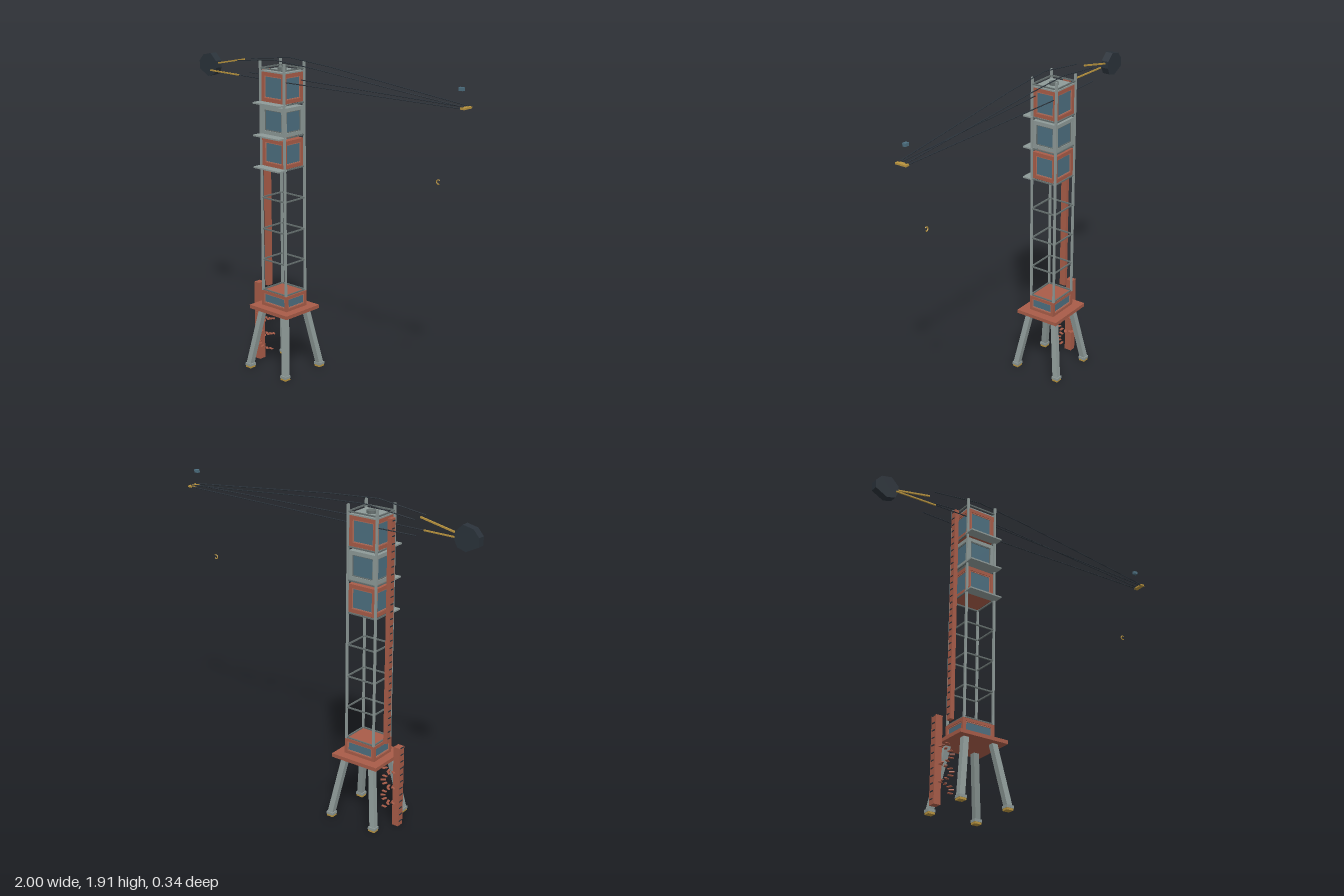
import * as THREE from 'three';

const paint = (color) => new THREE.MeshStandardMaterial({ color, flatShading: true });

export function createModel() {
  const model = new THREE.Group();
  model.name = 'towerCrane';
  const RED = paint(0xa85c48), GREY = paint(0x8e9a98), BLUE = paint(0x4d6f80);
  const DARK = paint(0x2a323a), GOLD = paint(0xb8933e), STEEL = paint(0x66706f), TRIM = paint(0xb5705c);
  const CX = -0.318; // mast axis

  function add(parent, name, geometry, material, x = 0, y = 0, z = 0) {
    const mesh = new THREE.Mesh(geometry, material);
    mesh.name = name;
    mesh.position.set(x, y, z);
    parent.add(mesh);
    return mesh;
  }
  const box = (parent, name, material, w, h, d, x, y, z) =>
    add(parent, name, new THREE.BoxGeometry(w, h, d), material, x, y, z);

  // Straight bar between two points: square section, or round if sides > 4
  function bar(parent, name, material, a, b, width, sides = 4) {
    const from = new THREE.Vector3(...a), to = new THREE.Vector3(...b);
    const length = from.distanceTo(to);
    const geometry = sides === 4 ? new THREE.BoxGeometry(width, length, width)
      : new THREE.CylinderGeometry(width / 2, width / 2, length, sides);
    const mesh = add(parent, name, geometry, material);
    mesh.position.copy(from).lerp(to, 0.5);
    mesh.quaternion.setFromUnitVectors(new THREE.Vector3(0, 1, 0), to.sub(from).normalize());
    return mesh;
  }

  // Flat rectangular frame facing +z
  function frameGeometry(w, h, border, depth) {
    const rect = (a, b, path) => path.moveTo(-a, -b).lineTo(a, -b).lineTo(a, b).lineTo(-a, b).closePath();
    const shape = rect(w / 2, h / 2, new THREE.Shape());
    shape.holes.push(rect(w / 2 - border, h / 2 - border, new THREE.Path()));
    return new THREE.ExtrudeGeometry(shape, { depth, bevelEnabled: false });
  }

  // Box room with framed windows on four sides
  function cabin(name, y0, y1, w, d, border, frame, trim) {
    const group = new THREE.Group();
    const h = y1 - y0, t = 0.008;
    group.name = name;
    group.position.set(CX, (y0 + y1) / 2, 0);
    box(group, 'glazing', BLUE, w - 2 * t, h - 0.01, d - 2 * t, 0, 0, 0);
    for (const s of [-1, 1]) box(group, s > 0 ? 'roof' : 'floor', frame, w - 0.002, 0.012, d - 0.002, 0, s * (h / 2 - 0.006), 0);
    for (let i = 0; i < 4; i++) {
      const [span, out] = i % 2 ? [d, w / 2] : [w, d / 2];
      const side = new THREE.Group();
      side.name = 'windowSide';
      side.rotation.y = i * Math.PI / 2;
      add(side, 'windowFrame', frameGeometry(span, h, border, t), frame, 0, 0, out - t);
      add(side, 'windowTrim', frameGeometry(span - 2 * border + 0.002, h - 2 * border + 0.002, 0.006, 0.004), trim, 0, 0, out - t);
      group.add(side);
    }
    model.add(group);
  }

  // Splayed legs with feet
  const legs = new THREE.Group();
  legs.name = 'legs';
  model.add(legs);
  for (const sx of [-1, 1]) for (const sz of [-1, 1]) {
    bar(legs, 'leg', GREY, [CX + sx * 0.152, 0.02, sz * 0.15], [CX + sx * 0.092, 0.39, sz * 0.088], 0.034);
    box(legs, 'foot', GREY, 0.046, 0.016, 0.044, CX + sx * 0.15, 0.02, sz * 0.15);
    box(legs, 'footPad', GOLD, 0.042, 0.012, 0.04, CX + sx * 0.15, 0.006, sz * 0.15);
  }

  // Platform, machine room and stacked cabins
  box(model, 'platform', RED, 0.312, 0.022, 0.285, CX, 0.394, 0);
  cabin('machineRoom', 0.405, 0.5, 0.208, 0.175, 0.018, RED, TRIM);
  const levels = [1.275, 1.465, 1.657];
  cabin('lowerCabin', 1.28, 1.445, 0.182, 0.162, 0.022, RED, TRIM);
  cabin('middleCabin', 1.47, 1.637, 0.182, 0.162, 0.022, GREY, STEEL);
  cabin('upperCabin', 1.662, 1.835, 0.182, 0.162, 0.022, RED, TRIM);

  // Mast posts and the rail rings tying them together
  const mast = new THREE.Group();
  mast.name = 'mast';
  model.add(mast);
  const PX = 0.095, PZ = 0.083;
  for (const sx of [-1, 1]) for (const sz of [-1, 1])
    box(mast, 'post', GREY, 0.012, 1.397, 0.012, CX + sx * PX, 1.198, sz * PZ);
  for (const y of [0.505, 0.697, 0.89, 1.083, ...levels, 1.855]) for (const s of [-1, 1]) {
    box(mast, 'crossRail', STEEL, 2 * PX, 0.008, 0.008, CX, y, s * PZ);
    box(mast, 'sideRail', STEEL, 0.008, 0.008, 2 * PZ, CX + s * PX, y, 0);
  }

  // Front balconies
  for (const y of levels) box(model, 'balcony', GREY, 0.212, 0.009, 0.065, CX, y, 0.108);

  // Roof plate with hatch
  box(model, 'roofPlate', GREY, 0.18, 0.008, 0.16, CX, 1.839, 0);
  add(model, 'roofHatch', new THREE.CylinderGeometry(0.027, 0.027, 0.018, 12), STEEL, CX, 1.851, 0);

  // Toothed climbing columns on the counterweight side
  function column(name, x, w, d, y0, y1) {
    const group = new THREE.Group();
    group.name = name;
    model.add(group);
    box(group, 'column', RED, w, y1 - y0, d, x, (y0 + y1) / 2, 0);
    for (let y = y0 + 0.03; y < y1; y += 0.043)
      box(group, 'rung', DARK, 0.004, 0.006, d * 0.6, x - w / 2 - 0.001, y, 0);
  }
  column('upperColumn', -0.449, 0.025, 0.038, 0.505, 1.838);
  column('lowerColumn', -0.533, 0.042, 0.046, 0, 0.505);

  // Spiral of small steps beside the lower column
  const stairs = new THREE.Group();
  stairs.name = 'spiralSteps';
  model.add(stairs);
  for (let i = 0; i < 30; i++) {
    const a = i * 0.63;
    const step = box(stairs, 'step', RED, 0.03, 0.005, 0.014,
      -0.483 + Math.cos(a) * 0.044, 0.085 + i * 0.01, Math.sin(a) * 0.044);
    step.rotation.y = -a;
  }

  // Jib cables, narrowing toward the tip
  const jib = new THREE.Group();
  jib.name = 'jib';
  model.add(jib);
  for (const s of [-1, 1]) {
    const upper = [[-0.63, 1.872, 0.056], [-0.32, 1.908, 0.066], [0, 1.888, 0.058], [0.5, 1.841, 0.041], [0.985, 1.797, 0.022]];
    const lower = [[-0.64, 1.787, 0.054], [-0.25, 1.787, 0.064], [0.985, 1.787, 0.025]];
    for (const path of [upper, lower]) for (let i = 1; i < path.length; i++) {
      const [a, b] = [path[i - 1], path[i]].map(([x, y, z]) => [x, y, z * s]);
      bar(jib, 'cable', DARK, a, b, 0.006, 6);
    }
  }
  box(jib, 'tipPlate', GOLD, 0.026, 0.01, 0.07, 0.987, 1.789, 0);
  bar(jib, 'upperStrut', GOLD, [-0.87, 1.825, 0], [-0.63, 1.874, 0], 0.009);
  bar(jib, 'lowerStrut', GOLD, [-0.88, 1.787, 0.046], [-0.62, 1.787, 0.055], 0.008);

  // Faceted counterweight
  const outline = [[-1, 1.782], [-0.925, 1.744], [-0.872, 1.76], [-0.853, 1.8], [-0.855, 1.842],
    [-0.9, 1.886], [-0.965, 1.872], [-1, 1.832]].map((p) => new THREE.Vector2(...p));
  add(model, 'counterweight', new THREE.ExtrudeGeometry(new THREE.Shape(outline),
    { depth: 0.046, bevelEnabled: false }), DARK, 0, 0, -0.023);

  // Tip beacon and open hook
  box(model, 'beacon', BLUE, 0.026, 0.018, 0.02, 0.955, 1.883, 0);
  const hook = add(model, 'hook', new THREE.TorusGeometry(0.012, 0.0035, 6, 14, Math.PI * 1.5), GOLD, 0.825, 1.373, 0);
  hook.rotation.z = Math.PI / 4;

  return model;
}
